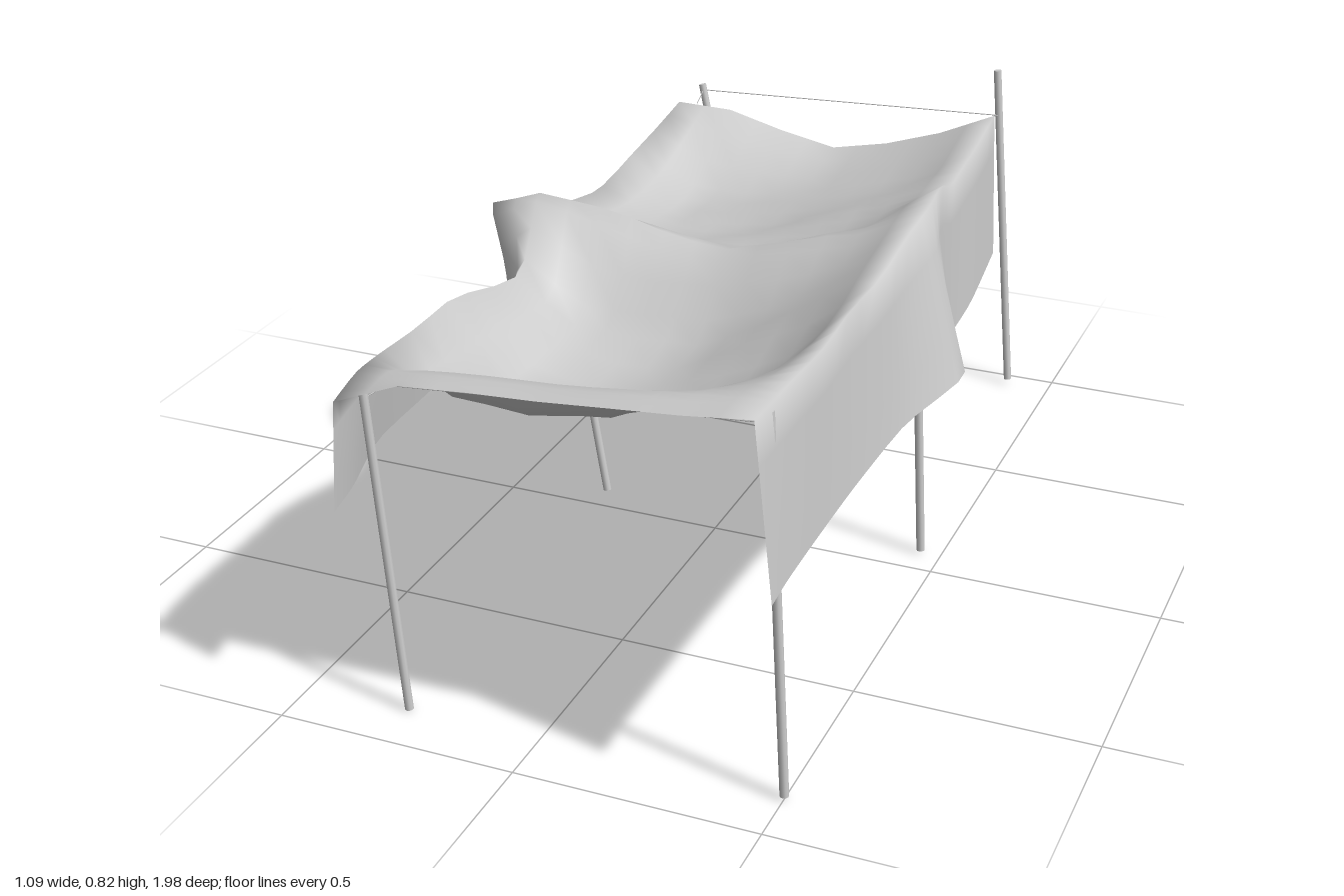
import * as THREE from 'three';

const material = new THREE.MeshStandardMaterial({ color: 0xcccccc, side: THREE.DoubleSide });
const V = (x, y, z) => new THREE.Vector3(x, y, z);
const { lerp, clamp } = THREE.MathUtils;

// Straight round bar between two points, used for poles and ropes
function bar(name, a, b, radius, sides) {
  const dir = b.clone().sub(a);
  const mesh = new THREE.Mesh(new THREE.CylinderGeometry(radius, radius, dir.length(), sides), material);
  mesh.name = name;
  mesh.position.copy(a).add(b).multiplyScalar(0.5);
  mesh.quaternion.setFromUnitVectors(V(0, 1, 0), dir.normalize());
  return mesh;
}

// Cloth sections from front to back: z, right hem and edge [x, y], sag heights,
// left edge [x, y], outward flare of the left flap, optional kick of the right flap
const sections = [
  { z: 0.975, hemR: [-0.36, 0.47], edgeR: [-0.345, 0.7], sag: [0.757, 0.778, 0.803], edgeL: [0.47, 0.82], flare: 0.035 },
  { z: 0.87, hemR: [-0.38, 0.47], edgeR: [-0.35, 0.72], sag: [0.74, 0.765, 0.795], edgeL: [0.468, 0.812], flare: 0.027 },
  { z: 0.7, hemR: [-0.42, 0.48], edgeR: [-0.38, 0.685], sag: [0.6, 0.62, 0.74], edgeL: [0.465, 0.8], flare: 0.02 },
  { z: 0.45, hemR: [-0.43, 0.48], edgeR: [-0.395, 0.67], sag: [0.53, 0.52, 0.645], edgeL: [0.45, 0.785], flare: 0.025 },
  { z: 0.17, hemR: [-0.42, 0.51], edgeR: [-0.375, 0.63], sag: [0.54, 0.55, 0.69], edgeL: [0.445, 0.788], flare: 0.04 },
  { z: -0.04, hemR: [-0.495, 0.46], edgeR: [-0.43, 0.722], sag: [0.7, 0.66, 0.735], edgeL: [0.445, 0.815], flare: 0.098, kick: [-0.083, 0.09] },
  { z: -0.18, hemR: [-0.5, 0.42], edgeR: [-0.45, 0.64], sag: [0.6, 0.61, 0.7], edgeL: [0.43, 0.808], flare: 0.02, kick: [-0.045, 0.05] },
  { z: -0.37, hemR: [-0.495, 0.42], edgeR: [-0.45, 0.605], sag: [0.55, 0.58, 0.68], edgeL: [0.4, 0.747], flare: 0.015 },
  { z: -0.61, hemR: [-0.485, 0.42], edgeR: [-0.45, 0.625], sag: [0.54, 0.565, 0.645], edgeL: [0.37, 0.72], flare: 0.02 },
  { z: -0.91, hemR: [-0.46, 0.42], edgeR: [-0.445, 0.665], sag: [0.655, 0.58, 0.64], edgeL: [0.325, 0.695], flare: 0.015, skew: 0.057 },
];

// Points across one section, from the right hem over the top to the left hem
function sectionPoints({ z, hemR, edgeR, sag: [a, b, c], edgeL, flare, kick = [0, 0], skew = 0 }) {
  const hemL = [edgeL[0] + flare, edgeL[1] - 0.352];
  const middle = (p, q, k) => [(p[0] + q[0]) / 2 + k[0], (p[1] + q[1]) / 2 + k[1]];
  const smooth = (p, q, r, s) => (9 * (q + r) - p - s) / 16;
  const heights = [a, smooth(edgeR[1], a, b, c), b, smooth(a, b, c, edgeL[1]), c];
  const inner = heights.map((y, i) => [lerp(edgeR[0], edgeL[0], (i + 1) / 6), y]);
  const pts = [hemR, middle(hemR, edgeR, kick), edgeR, ...inner, edgeL, middle(hemL, edgeL, [0, 0]), hemL];
  return pts.map(([x, y]) => {
    const t = clamp((x - edgeR[0]) / (edgeL[0] - edgeR[0]), 0, 1);
    return V(x, y, z + lerp(skew, -skew, t));
  });
}

// Draped sheet: smooth lengthwise strands, straight spans across so the edge folds stay crisp
function clothGeometry(rows = 30) {
  const points = sections.map(sectionPoints);
  const strands = points[0].map((_, k) => new THREE.CatmullRomCurve3(points.map((p) => p[k]), false, 'catmullrom', 0.35));
  const cols = (strands.length - 1) * 2;
  const positions = [];
  const index = [];
  for (let i = 0; i <= cols; i++) {
    const k = Math.floor(i / 2);
    for (let j = 0; j <= rows; j++) {
      const v = j / rows;
      const p = strands[k].getPoint(v);
      if (i % 2) p.lerp(strands[k + 1].getPoint(v), 0.5);
      // Soft folds, fading out at the borders
      const fade = Math.sin(Math.PI * i / cols) * Math.sin(Math.PI * v);
      p.y += 0.008 * fade * Math.sin(14 * p.x + 18 * p.z);
      positions.push(p.x, p.y, p.z);
      if (i < cols && j < rows) {
        const a = i * (rows + 1) + j;
        const b = a + rows + 1;
        index.push(a, b, a + 1, b, b + 1, a + 1);
      }
    }
  }
  const geometry = new THREE.BufferGeometry();
  geometry.setAttribute('position', new THREE.Float32BufferAttribute(positions, 3));
  geometry.setIndex(index);
  geometry.computeVertexNormals();
  return geometry;
}

export function createModel() {
  const model = new THREE.Group();
  model.name = 'clothCanopy';

  const cloth = new THREE.Mesh(clothGeometry(), material);
  cloth.name = 'clothSheet';
  model.add(cloth);

  // Leaning poles: foot, top
  const poles = {
    frontLeftPole: [V(0.5, 0.01, 0.885), V(0.463, 0.795, 0.885)],
    frontRightPole: [V(-0.28, 0.005, 0.888), V(-0.337, 0.712, 0.888)],
    middleLeftPole: [V(0.455, 0.01, -0.07), V(0.417, 0.75, -0.07)],
    middleRightPole: [V(-0.295, 0.005, -0.07), V(-0.405, 0.68, -0.07)],
    backLeftPole: [V(0.397, 0.015, -0.957), V(0.32, 0.8, -0.992)],
    backRightPole: [V(-0.255, 0.005, -0.895), V(-0.415, 0.69, -0.93)],
  };
  for (const [name, [foot, top]] of Object.entries(poles)) model.add(bar(name, foot, top, 0.009, 10));

  // Thin ropes tied between the poles
  const tie = (pole, t) => poles[pole][0].clone().lerp(poles[pole][1], t);
  const ropes = [
    ['frontRope', tie('frontRightPole', 0.985), tie('frontLeftPole', 0.97)],
    ['middleRope', tie('middleRightPole', 0.8), tie('middleLeftPole', 0.69)],
    ['backRope', tie('backRightPole', 0.98), tie('backLeftPole', 0.86)],
    ['sideRope', tie('frontRightPole', 0.94), tie('middleRightPole', 0.77)],
    ['cornerRopeLeft', tie('backLeftPole', 0.86), V(0.325, 0.695, -0.965)],
    ['cornerRopeRight', tie('backRightPole', 0.98), V(-0.4, 0.665, -0.86)],
  ];
  for (const [name, a, b] of ropes) model.add(bar(name, a, b, 0.0012, 5));

  return model;
}
